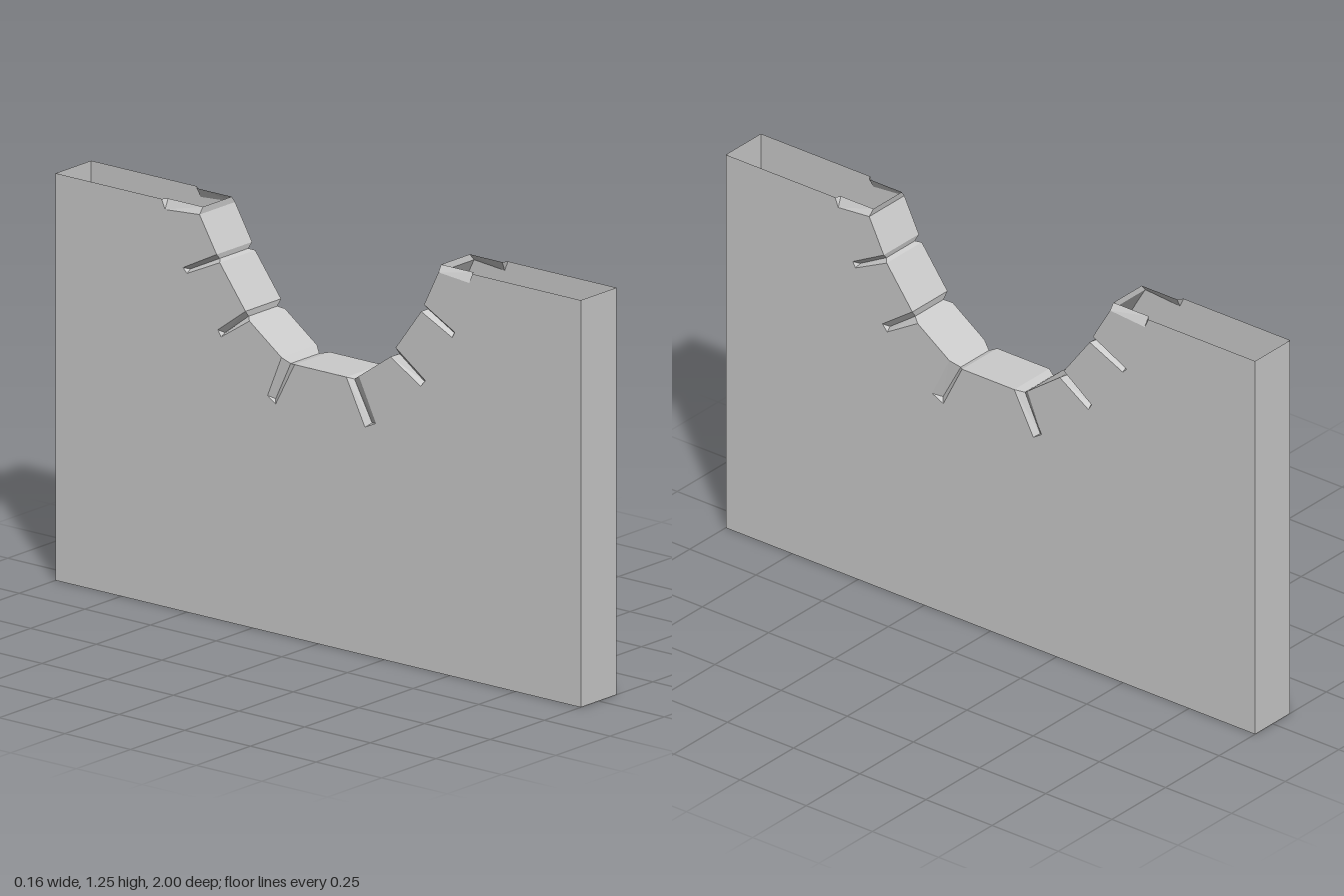
import * as THREE from 'three';

const H = 0.082, TOP = 1.25, DEPTH = 0.016; // half thickness, wall height, groove depth

// Joints between the arch stones as [z, y]: mouth edges, blind-end edges,
// then the recessed groove line from mouth to end. The top ones are half grooves.
const JOINTS = [
  { side: 1, low: [0.458, 1.23], lowEnd: [0.575, 1.22], upEnd: [0.587, TOP], m: [0.455, TOP], e: [0.578, TOP] },
  { side: 1, up: [0.403, 1.12], low: [0.392, 1.097], lowEnd: [0.51, 1.04], upEnd: [0.52, 1.058], m: [0.405, 1.104], e: [0.505, 1.05] },
  { side: 1, up: [0.295, 0.967], low: [0.275, 0.935], lowEnd: [0.39, 0.867], upEnd: [0.408, 0.888], m: [0.297, 0.945], e: [0.392, 0.878] },
  { side: 1, up: [0.155, 0.852], low: [0.107, 0.84], lowEnd: [0.178, 0.7], upEnd: [0.22, 0.72], m: [0.125, 0.834], e: [0.192, 0.712] },
  { side: -1, up: [-0.14, 0.852], low: [-0.09, 0.84], lowEnd: [-0.162, 0.705], upEnd: [-0.193, 0.725], m: [-0.118, 0.834], e: [-0.175, 0.715] },
  { side: -1, up: [-0.277, 0.967], low: [-0.262, 0.94], lowEnd: [-0.37, 0.87], upEnd: [-0.382, 0.89], m: [-0.278, 0.948], e: [-0.368, 0.88] },
  { side: -1, up: [-0.387, 1.12], low: [-0.375, 1.097], lowEnd: [-0.5, 1.04], upEnd: [-0.515, 1.055], m: [-0.388, 1.104], e: [-0.5, 1.05] },
  { side: -1, low: [-0.452, 1.23], lowEnd: [-0.583, 1.22], upEnd: [-0.597, TOP], m: [-0.452, TOP], e: [-0.585, TOP] },
];

const material = new THREE.MeshStandardMaterial({ color: 0xcccccc, flatShading: true, side: THREE.DoubleSide });

function addMesh(group, name, geometry) {
  const mesh = new THREE.Mesh(geometry, material);
  mesh.name = name;
  group.add(mesh);
  return mesh;
}

// Collects convex faces as triangle fans; corners are [x, y, z].
function facesGeometry(faces) {
  const pos = [];
  for (const f of faces)
    for (let i = 1; i < f.length - 1; i++) pos.push(...f[0], ...f[i], ...f[i + 1]);
  const g = new THREE.BufferGeometry();
  g.setAttribute('position', new THREE.Float32BufferAttribute(pos, 3));
  g.computeVertexNormals();
  return g;
}

const at = (x, [z, y]) => [x, y, z];

// Flat wall with the arch and the groove slots cut from its outline
function wallGeometry(s) {
  const outline = [[1, 0], [1, TOP]];
  for (const j of JOINTS) {
    const slot = [j.up, j.upEnd, j.lowEnd, j.low].filter(Boolean);
    outline.push(...(j.side > 0 ? slot : slot.reverse()));
  }
  outline.push([-1, TOP], [-1, 0]);
  const shape = new THREE.Shape(outline.map(([z, y]) => new THREE.Vector2(-s * z, y)));
  return new THREE.ShapeGeometry(shape).rotateY(s * Math.PI / 2).translate(s * H, 0, 0);
}

// Bevelled V faces filling the slots
function grooveGeometry(s) {
  const faces = [];
  for (const j of JOINTS) {
    const out = (p) => at(s * H, p), inn = (p) => at(s * (H - DEPTH), p);
    const set = [
      [inn(j.m), inn(j.e), out(j.lowEnd), out(j.low)],
      [out(j.upEnd), out(j.lowEnd), inn(j.e)],
    ];
    if (j.up) set.push([out(j.up), out(j.upEnd), inn(j.e), inn(j.m)]);
    for (const f of set) faces.push(s * j.side > 0 ? f : f.reverse());
  }
  return facesGeometry(faces);
}

// Underside of the opening: stone faces with a notch at every joint
function archGeometry() {
  const path = [];
  for (const j of JOINTS) {
    const pts = [{ p: j.up, h: H }, { p: j.m, h: H - DEPTH }, { p: j.low, h: H }].filter((q) => q.p);
    path.push(...(j.side > 0 ? pts : pts.reverse()));
  }
  const faces = [];
  for (let i = 0; i < path.length - 1; i++) {
    const a = path[i], b = path[i + 1];
    faces.push([at(a.h, a.p), at(b.h, b.p), at(-b.h, b.p), at(-a.h, a.p)]);
  }
  return facesGeometry(faces);
}

export function createModel() {
  const model = new THREE.Group();
  model.name = 'archWall';

  for (const s of [1, -1]) {
    const label = s > 0 ? 'left' : 'right';
    addMesh(model, label + 'Wall', wallGeometry(s));
    addMesh(model, label + 'StoneJoints', grooveGeometry(s));
    // End walls
    const end = new THREE.PlaneGeometry(2 * H, TOP);
    if (s < 0) end.rotateY(Math.PI);
    addMesh(model, s > 0 ? 'frontEnd' : 'backEnd', end).position.set(0, TOP / 2, s);
  }
  addMesh(model, 'archStones', archGeometry());

  // Base; the tops beside the arch stay open
  addMesh(model, 'base', new THREE.PlaneGeometry(2 * H, 2).rotateX(Math.PI / 2));
  return model;
}
